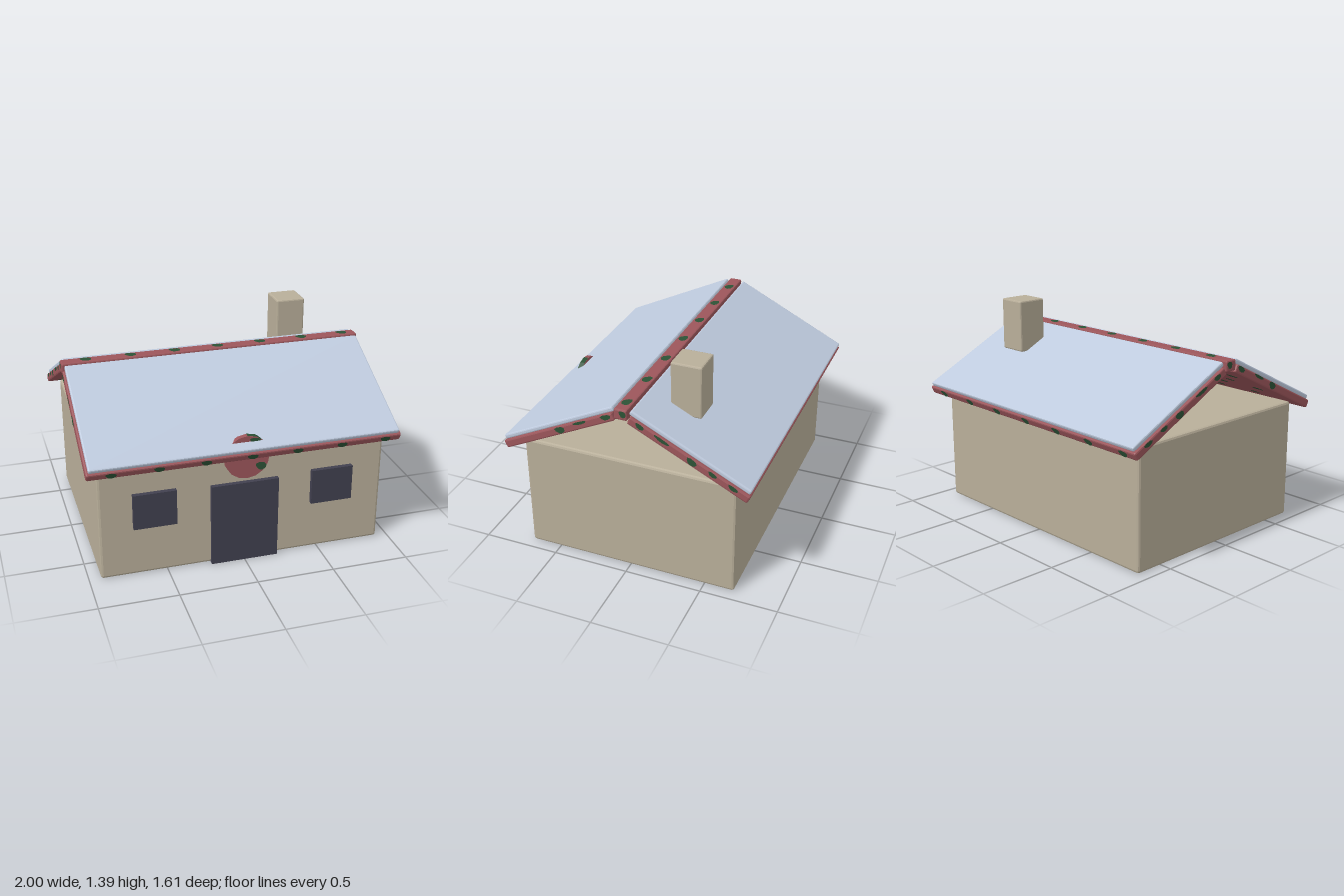
import * as THREE from 'three';
import { RoundedBoxGeometry } from 'three/addons/geometries/RoundedBoxGeometry.js';

const paint = (name, color) => {
  const m = new THREE.MeshStandardMaterial({ color });
  m.name = name;
  return m;
};

export function createModel() {
  const wall = paint('beige wall', 0xb8ae99);
  const sheet = paint('pale blue roof', 0xbecadd);
  const red = paint('dusty red trim', 0x9c565b);
  const green = paint('dark green spots', 0x2c5236);
  const dark = paint('dark openings', 0x41404f);
  const house = new THREE.Group();
  house.name = 'cottage';

  const add = (parent, name, geometry, material, x = 0, y = 0, z = 0) => {
    const mesh = new THREE.Mesh(geometry, material);
    mesh.name = name;
    mesh.position.set(x, y, z);
    parent.add(mesh);
    return mesh;
  };

  // Box with bevelled edges, given by its limits on each axis
  const bevelBox = (parent, name, material, [x0, x1], [y0, y1], [z0, z1], r) => {
    const g = new RoundedBoxGeometry(x1 - x0, y1 - y0, z1 - z0, 1, r);
    g.computeVertexNormals();
    return add(parent, name, g, material, (x0 + x1) / 2, (y0 + y1) / 2, (z0 + z1) / 2);
  };

  const plainBox = (parent, name, material, [x0, x1], [y0, y1], [z0, z1]) =>
    add(parent, name, new THREE.BoxGeometry(x1 - x0, y1 - y0, z1 - z0), material,
      (x0 + x1) / 2, (y0 + y1) / 2, (z0 + z1) / 2);

  // Irregular flat spot, one unit wide and high, facing +z
  const outline = [[-0.5, 0.35], [-0.2, 0.5], [0.3, 0.4], [0.5, 0.1], [0.4, -0.3], [0.1, -0.5], [-0.2, -0.4], [-0.45, 0]];
  const spotShape = new THREE.ShapeGeometry(new THREE.Shape(outline.map(p => new THREE.Vector2(...p))));
  const spot = (parent, x, y, z, w, h, rx = 0, ry = 0) => {
    const m = add(parent, 'spot', spotShape, green, x, y, z);
    m.scale.set(w, h, 1);
    m.rotation.set(rx, ry, 0);
  };
  const repeat = fn => { for (let i = 0; i < 7; i++) fn(-0.85 + i * 0.291, i); };

  // Walls and chimney
  bevelBox(house, 'walls', wall, [-0.925, 0.925], [0, 0.785], [-0.695, 0.7], 0.016);
  bevelBox(house, 'chimney', wall, [0.51, 0.705], [1.045, 1.39], [-0.39, -0.19], 0.01);

  // Door and windows
  plainBox(house, 'door', dark, [-0.218, 0.218], [0, 0.555], [0.69, 0.73]);
  for (const s of [-1, 1]) {
    plainBox(house, 'window', dark, [s * 0.577 - 0.137, s * 0.577 + 0.137], [0.335, 0.57], [0.69, 0.73]);
  }

  // Roof halves: local y is the slope normal, local z runs down the slope
  const roofHalf = (name, turn, endSpots) => {
    const half = new THREE.Group();
    half.name = name;
    const slope = new THREE.Group();
    slope.rotation.x = 0.459;
    half.rotation.y = turn;
    half.add(slope);
    bevelBox(slope, 'roofBoard', red, [-1, 1], [1.008, 1.062], [-0.457, 0.372], 0.01);
    bevelBox(slope, 'roofSheet', sheet, [-0.985, 0.985], [1.061, 1.092], [-0.472, 0.36], 0.009);
    // Spots along the eave and under the board
    repeat((x, i) => {
      spot(slope, x, 1.035, 0.3735, 0.07, 0.046);
      for (let row = 0; row < 3; row++) {
        const z = 0.29 - row * 0.29;
        spot(slope, x, 1.0065, z, 0.08, 0.06, Math.PI / 2);
        if (i < 6) spot(slope, x + 0.14, 1.0065, z - 0.12, 0.065, 0.05, Math.PI / 2);
      }
    });
    // Spots on the gable ends
    for (const [z, w, h] of endSpots) {
      for (const s of [-1, 1]) spot(slope, s * 1.0015, 1.06 - h / 2, z, w, h, 0, s * Math.PI / 2);
    }
    house.add(half);
  };
  roofHalf('frontRoof', 0, [[-0.41, 0.07, 0.035], [-0.22, 0.1, 0.02], [-0.065, 0.07, 0.045]]);
  roofHalf('backRoof', Math.PI, [[-0.38, 0.06, 0.035], [-0.23, 0.11, 0.025], [-0.02, 0.07, 0.045],
    [0.12, 0.06, 0.03], [0.26, 0.07, 0.03]]);

  // Ridge beam with spots on top, below and at both ends
  bevelBox(house, 'ridgeBeam', red, [-1, 1], [1.12, 1.19], [-0.042, 0.042], 0.009);
  repeat(x => {
    spot(house, x + 0.01, 1.1915, 0, 0.075, 0.058, -Math.PI / 2);
    spot(house, x + 0.01, 1.1185, 0, 0.075, 0.058, Math.PI / 2);
  });
  for (const s of [-1, 1]) spot(house, s * 1.0015, 1.16, -0.015, 0.045, 0.045, 0, s * Math.PI / 2);

  // Round plaque above the door, with green patches on face and rim
  const cylinder = (r, ...rest) => {
    const g = new THREE.CylinderGeometry(r, r, 0.033, ...rest).rotateX(Math.PI / 2).toNonIndexed();
    g.computeVertexNormals();
    return g;
  };
  const plaque = new THREE.Group();
  plaque.name = 'plaque';
  plaque.position.set(0, 0.742, 0.734);
  house.add(plaque);
  add(plaque, 'plaqueDisc', cylinder(0.144, 16), red);
  for (const [start, length] of [[Math.PI - 0.8, 0.8], [0.95, 0.3]]) {
    add(plaque, 'rimPatch', cylinder(0.1455, 2, 1, true, start, length), green);
  }
  spot(plaque, 0.09, -0.07, 0.018, 0.07, 0.055);
  spot(plaque, 0.05, 0.11, 0.018, 0.07, 0.035);
  return house;
}
